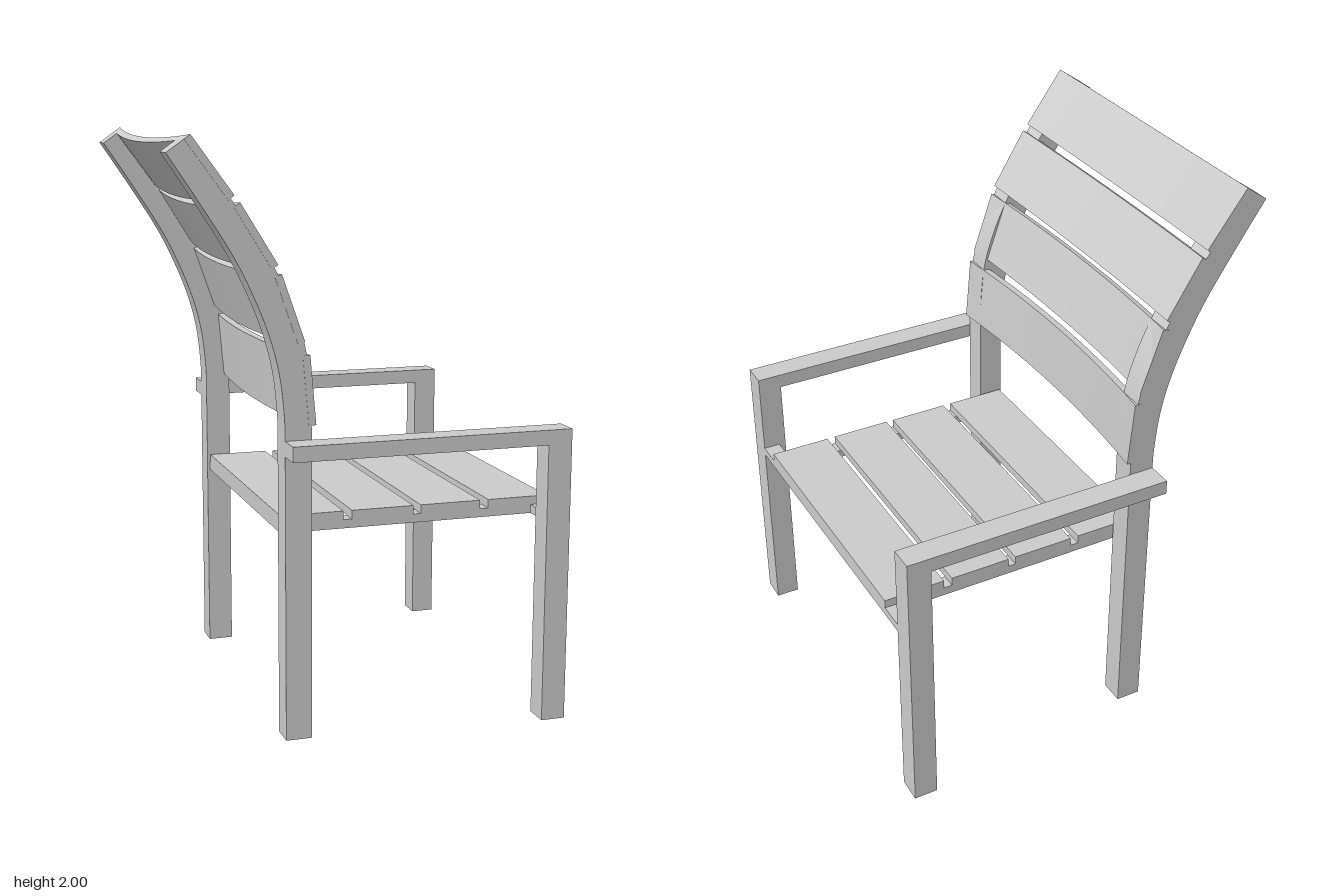
import * as THREE from 'three';
import { toCreasedNormals } from 'three/addons/utils/BufferGeometryUtils.js';

const wood = new THREE.MeshStandardMaterial({ color: 0xcccccc });

export function createModel() {
  const chair = new THREE.Group();

  const add = (name, geometry) => {
    const mesh = new THREE.Mesh(geometry, wood);
    mesh.name = name;
    chair.add(mesh);
  };

  // Box given by its lower and upper limits on each axis
  const box = (name, x0, x1, y0, y1, z0, z1) => {
    const g = new THREE.BoxGeometry(x1 - x0, y1 - y0, z1 - z0);
    g.translate((x0 + x1) / 2, (y0 + y1) / 2, (z0 + z1) / 2);
    add(name, g);
  };

  // Back post outline: straight leg that sweeps backwards above the arms
  const vec = (list) => list.map(([x, y]) => new THREE.Vector2(x, y));
  const postShape = new THREE.Shape();
  postShape.moveTo(-0.3, 0);
  postShape.lineTo(-0.21, 0);
  postShape.lineTo(-0.21, 1.05);
  postShape.splineThru(vec([[-0.214, 1.18], [-0.23, 1.32], [-0.27, 1.45],
    [-0.325, 1.57], [-0.395, 1.69], [-0.47, 1.8], [-0.605, 1.994]]));
  postShape.lineTo(-0.675, 1.945);
  postShape.splineThru(vec([[-0.578, 1.8], [-0.47, 1.63], [-0.404, 1.5],
    [-0.352, 1.37], [-0.318, 1.24], [-0.302, 1.1], [-0.3, 1.0]]));

  for (const side of [1, -1]) {
    const label = side > 0 ? 'left' : 'right';
    const span = (a, b) => (side > 0 ? [a, b] : [-b, -a]);

    const post = new THREE.ExtrudeGeometry(postShape,
      { depth: 0.088, bevelEnabled: false, curveSegments: 24 });
    post.translate(0, 0, side > 0 ? 0.497 : -0.585);
    add(label + 'BackPost', toCreasedNormals(post, 0.5));

    box(label + 'FrontLeg', 0.59, 0.675, 0, 0.97, ...span(0.585, 0.675));
    box(label + 'Arm', -0.3, 0.675, 0.97, 1.022, ...span(0.585, 0.675));
    box(label + 'SeatRail', -0.23, 0.615, 0.69, 0.72, ...span(0.435, 0.49));
  }

  // Cross rails of the seat frame
  box('frontSeatRail', 0.615, 0.675, 0.69, 0.72, -0.585, 0.585);
  box('backSeatRail', -0.29, -0.23, 0.69, 0.72, -0.497, 0.497);

  // Seat slats
  for (const [x0, x1] of [[-0.29, -0.07], [-0.04, 0.18], [0.207, 0.425], [0.455, 0.675]])
    box('seatSlat', x0, x1, 0.72, 0.75, -0.49, 0.49);

  // Back slats: front edge from bottom to top, bowed backwards in the middle
  const slats = [
    [-0.195, 1.07, -0.215, 1.3], [-0.232, 1.343, -0.308, 1.562],
    [-0.32, 1.592, -0.442, 1.79], [-0.46, 1.812, -0.597, 2.0],
  ];
  const half = 0.586, thickness = 0.025, bow = 0.037;
  for (const [x0, y0, x1, y1] of slats) {
    const length = Math.hypot(x1 - x0, y1 - y0);
    const nx = -(y1 - y0) / length, ny = (x1 - x0) / length; // points backwards
    const section = new THREE.Shape(vec([[x0, y0], [x1, y1],
      [x1 + nx * thickness, y1 + ny * thickness], [x0 + nx * thickness, y0 + ny * thickness]]));
    const g = new THREE.ExtrudeGeometry(section,
      { depth: 2 * half, steps: 20, bevelEnabled: false });
    g.translate(0, 0, -half);
    const p = g.attributes.position;
    for (let i = 0; i < p.count; i++) {
      const d = bow * (1 - (p.getZ(i) / half) ** 2);
      p.setXY(i, p.getX(i) + nx * d, p.getY(i) + ny * d);
    }
    add('backSlat', toCreasedNormals(g, 0.5));
  }

  return chair;
}
